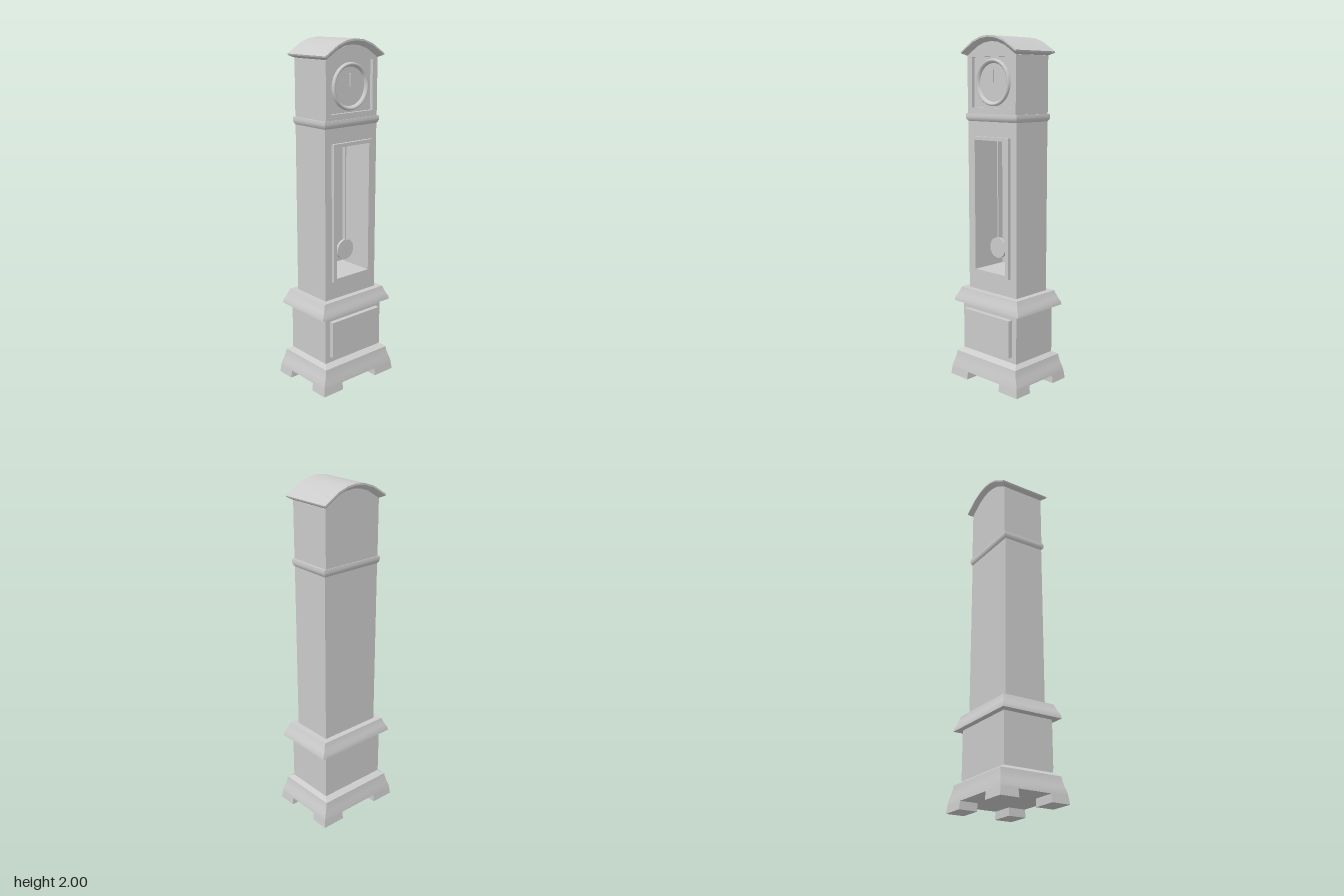
import * as THREE from 'three';
import { toCreasedNormals } from 'three/addons/utils/BufferGeometryUtils.js';

const material = new THREE.MeshStandardMaterial({ color: 0xcccccc });

function add(parent, name, geometry, x = 0, y = 0, z = 0) {
  const mesh = new THREE.Mesh(geometry, material);
  mesh.name = name;
  mesh.position.set(x, y, z);
  parent.add(mesh);
  return mesh;
}

// Geometry from a list of quads, each given as four Vector3 corners
function fromQuads(quads, crease = 0.5) {
  const points = [];
  for (const [a, b, c, d] of quads) points.push(a, b, c, a, c, d);
  const geometry = new THREE.BufferGeometry().setFromPoints(points);
  return toCreasedNormals(geometry, crease);
}

// Stack of rectangles [x0, x1, z0, z1, y], listed upwards, skinned and capped
function loftRects(rects) {
  const rings = rects.map(([x0, x1, z0, z1, y]) =>
    [[x0, z1], [x1, z1], [x1, z0], [x0, z0]].map(([x, z]) => new THREE.Vector3(x, y, z)));
  const quads = [[...rings[0]].reverse(), rings[rings.length - 1]];
  for (let i = 0; i < rings.length - 1; i++) {
    for (let k = 0; k < 4; k++) {
      const n = (k + 1) % 4;
      quads.push([rings[i][k], rings[i][n], rings[i + 1][n], rings[i + 1][k]]);
    }
  }
  return fromQuads(quads);
}

// Mitred moulding from a profile of [halfWidth, halfDepth, y]
const moulding = (profile) => loftRects(profile.map(([w, d, y]) => [-w, w, -d, d, y]));

function rectPath(PathType, halfWidth, y0, y1) {
  const path = new PathType();
  path.moveTo(-halfWidth, y0);
  path.lineTo(halfWidth, y0);
  path.lineTo(halfWidth, y1);
  path.lineTo(-halfWidth, y1);
  path.closePath();
  return path;
}

// Front-facing slab with an optional hole, spanning z0 to z1
function slab(shape, hole, z0, z1) {
  if (hole) shape.holes.push(hole);
  const geometry = new THREE.ExtrudeGeometry(shape, { depth: z1 - z0, bevelEnabled: false });
  return geometry.translate(0, 0, z0);
}

// Points of the shallow arch, from -x to +x
const archSteps = [[-1, 0], [-0.57, 0.67], [-0.28, 0.92], [0, 1], [0.28, 0.92], [0.57, 0.67], [1, 0]];
const arch = (halfWidth, y0, y1) => archSteps.map(([t, h]) => [t * halfWidth, y0 + h * (y1 - y0)]);

function hoodShape(halfWidth, y0, ySide, yTop) {
  const shape = new THREE.Shape();
  shape.moveTo(-halfWidth, y0);
  shape.lineTo(halfWidth, y0);
  for (const [x, y] of arch(halfWidth, ySide, yTop).reverse()) shape.lineTo(x, y);
  shape.closePath();
  return shape;
}

// Arched crown whose edges slope in towards the hood below
function crownGeometry() {
  const section = (w, y0, y1, z) => arch(w, y0, y1).map(([x, y]) => new THREE.Vector3(x, y, z));
  const s = [
    section(0.185, 1.893, 1.968, 0.131),
    section(0.21, 1.907, 1.99, 0.16),
    section(0.213, 1.915, 2.0, 0.16),
    section(0.213, 1.915, 2.0, -0.16),
    section(0.21, 1.907, 1.99, -0.16),
    section(0.185, 1.893, 1.968, -0.131),
  ];
  const quads = [];
  const last = archSteps.length - 1;
  for (let i = 0; i < s.length; i++) {
    const a = s[i], b = s[(i + 1) % s.length];
    for (let j = 0; j < last; j++) quads.push([a[j], a[j + 1], b[j + 1], b[j]]);
  }
  for (let i = 0; i < 2; i++) {
    const ends = (j) => [s[i][j], s[5 - i][j], s[4 - i][j], s[i + 1][j]];
    quads.push(ends(last), ends(0).reverse());
  }
  return fromQuads(quads);
}

export function createModel() {
  const clock = new THREE.Group();
  clock.name = 'longcaseClock';

  // Feet, flared on their outer sides
  for (const sx of [-1, 1]) {
    for (const sz of [-1, 1]) {
      const rect = (outX, outZ, y) => {
        const xs = [sx * 0.13, sx * outX].sort((a, b) => a - b);
        const zs = [sz * 0.1, sz * outZ].sort((a, b) => a - b);
        return [...xs, ...zs, y];
      };
      add(clock, 'foot', loftRects([rect(0.273, 0.211, 0), rect(0.267, 0.206, 0.045)]));
    }
  }

  // Plinth
  add(clock, 'baseMoulding', moulding([
    [0.267, 0.206, 0.045], [0.265, 0.204, 0.06], [0.252, 0.196, 0.095],
    [0.243, 0.19, 0.125], [0.239, 0.187, 0.15], [0.214, 0.153, 0.17],
  ]));
  add(clock, 'plinth', new THREE.BoxGeometry(0.428, 0.3, 0.306), 0, 0.315, 0);
  add(clock, 'plinthPanel', new THREE.BoxGeometry(0.36, 0.22, 0.04), 0, 0.315, 0.16);
  add(clock, 'plinthMoulding', moulding([
    [0.26, 0.187, 0.46], [0.257, 0.185, 0.478], [0.243, 0.175, 0.502],
    [0.232, 0.166, 0.527], [0.225, 0.162, 0.545],
  ]));

  // Trunk with a deep opening, closed at the back
  const opening = () => rectPath(THREE.Path, 0.12, 0.67, 1.425);
  add(clock, 'trunk', slab(rectPath(THREE.Shape, 0.19, 0.54, 1.54), opening(), -0.08, 0.127));
  add(clock, 'trunkBack', slab(rectPath(THREE.Shape, 0.19, 0.54, 1.54), null, -0.127, -0.08));
  add(clock, 'doorFrame', slab(rectPath(THREE.Shape, 0.143, 0.65, 1.445), opening(), 0.127, 0.145));

  // Pendulum
  const pendulum = new THREE.Group();
  pendulum.name = 'pendulum';
  clock.add(pendulum);
  add(pendulum, 'pendulumRod', new THREE.BoxGeometry(0.008, 0.58, 0.012), 0, 1.135, 0.075);
  const bob = new THREE.CylinderGeometry(0.06, 0.06, 0.016, 24).rotateX(Math.PI / 2);
  add(pendulum, 'pendulumBob', toCreasedNormals(bob, 0.6), 0, 0.805, 0.075);

  // Hood with a recessed square face
  add(clock, 'waistMoulding', moulding([
    [0.189, 0.126, 1.528], [0.194, 0.132, 1.535], [0.199, 0.137, 1.546],
    [0.2, 0.138, 1.557], [0.198, 0.136, 1.572],
  ]));
  add(clock, 'hoodFrame', slab(hoodShape(0.187, 1.56, 1.893, 1.968),
    rectPath(THREE.Path, 0.152, 1.605, 1.885), 0.112, 0.132));
  add(clock, 'hood', slab(hoodShape(0.187, 1.56, 1.893, 1.968), null, -0.132, 0.112));
  add(clock, 'crown', crownGeometry());

  // Dial ring and hand
  const ringProfile = [[0.13, 0], [0.129, 0.01], [0.124, 0.017], [0.117, 0.016], [0.11, 0.009], [0.106, 0]]
    .map(([r, h]) => new THREE.Vector2(r, h));
  const ring = new THREE.LatheGeometry(ringProfile, 40).rotateX(Math.PI / 2);
  add(clock, 'dialRing', ring, 0, 1.745, 0.112);
  add(clock, 'clockHand', new THREE.BoxGeometry(0.006, 0.07, 0.008), 0, 1.78, 0.116);

  return clock;
}
